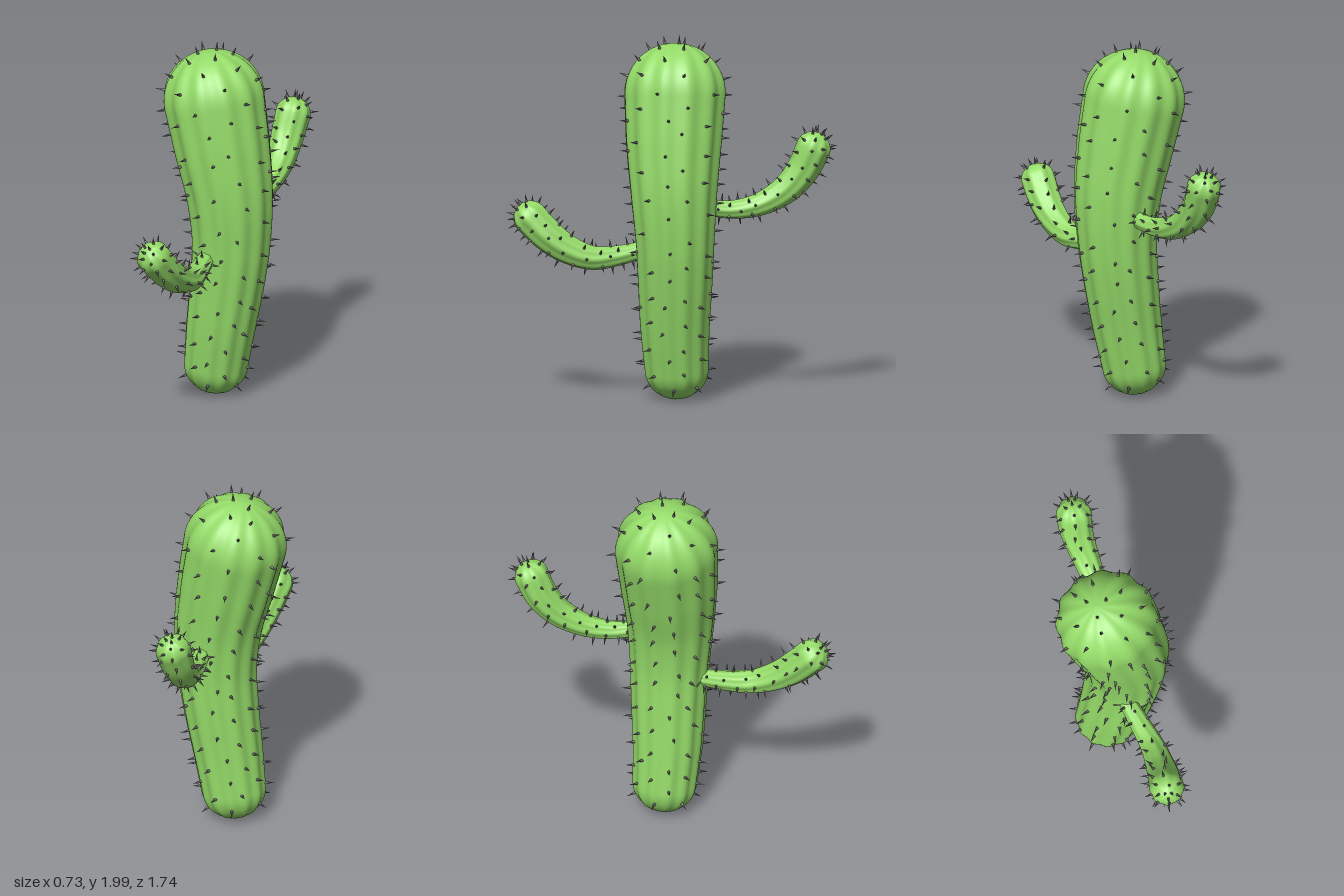
import * as THREE from 'three';
import { mergeGeometries } from 'three/addons/utils/BufferGeometryUtils.js';

const green = new THREE.MeshStandardMaterial({ color: 0x94da68 });
const grey = new THREE.MeshStandardMaterial({ color: 0x6a666c });

// Seeded noise in -0.5..0.5
let seed = 7;
function jitter() {
  seed = (seed * 16807) % 2147483647;
  return seed / 2147483647 - 0.5;
}

// Ribbed limb along [x, y, z, radius] stations.
// t = 0..1 is the stem, -1..0 and 1..2 are the rounded ends.
function makeLimb(stations, ribs, depth) {
  const path = new THREE.CatmullRomCurve3(stations.map(([x, y, z]) => new THREE.Vector3(x, y, z)));
  const radii = new THREE.CatmullRomCurve3(stations.map((s) => new THREE.Vector3(s[3], 0, 0)));
  return {
    ribs,
    at(t, angle) {
      const u = THREE.MathUtils.clamp(t, 0, 1);
      const cap = (t - u) * Math.PI / 2;
      const core = path.getPoint(u);
      const tangent = path.getTangent(u);
      const side = new THREE.Vector3(1, 0, 0).addScaledVector(tangent, -tangent.x).normalize();
      const other = new THREE.Vector3().crossVectors(tangent, side);
      const r = radii.getPoint(u).x;
      const ring = r * Math.cos(cap) * (1 + depth * Math.cos(ribs * angle));
      const point = core.clone()
        .addScaledVector(tangent, r * Math.sin(cap))
        .addScaledVector(side, ring * Math.cos(angle))
        .addScaledVector(other, ring * Math.sin(angle));
      return { point, out: point.clone().sub(core).normalize() };
    },
  };
}

// Skin: rings of points joined into a closed surface
function skin(limb, stemRows) {
  const ts = [];
  const capRows = 12;
  for (let i = 0; i < capRows; i++) ts.push(-1 + i / capRows);
  for (let i = 0; i <= stemRows; i++) ts.push(i / stemRows);
  for (let i = 1; i <= capRows; i++) ts.push(1 + i / capRows);
  const n = limb.ribs * 8;
  const pos = [], index = [];
  ts.forEach((t, i) => {
    for (let j = 0; j < n; j++) {
      pos.push(...limb.at(t, (j / n) * Math.PI * 2).point.toArray());
      if (i === ts.length - 1) continue;
      const a = i * n + j, b = i * n + (j + 1) % n;
      index.push(a, b, a + n, b, b + n, a + n);
    }
  });
  const geo = new THREE.BufferGeometry();
  geo.setAttribute('position', new THREE.Float32BufferAttribute(pos, 3));
  geo.setIndex(index);
  geo.computeVertexNormals();
  return geo;
}

// Spines: small cones standing on the ribs, staggered row by row
function spines(limb, stemRows, length) {
  const rows = [-0.3];
  for (let i = 0; i <= stemRows; i++) rows.push(i / stemRows);
  rows.push(1.2, 1.42, 1.65);
  const cones = [];
  const up = new THREE.Vector3(0, 1, 0);
  const add = (t, angle) => {
    const { point, out } = limb.at(t, angle);
    const cone = new THREE.ConeGeometry(length * 0.17, length, 6);
    cone.translate(0, length * 0.4, 0);
    cone.applyQuaternion(new THREE.Quaternion().setFromUnitVectors(up, out));
    cone.translate(point.x, point.y, point.z);
    cones.push(cone);
  };
  rows.forEach((t, i) => {
    for (let k = i % 2; k < limb.ribs; k += 2) {
      add(t + jitter() * 0.6 / stemRows, ((k + jitter() * 0.5) / limb.ribs) * Math.PI * 2);
    }
  });
  for (let k = 0; k < 3; k++) add(1.86, k * 2.1 + 0.5);
  return mergeGeometries(cones);
}

function addLimb(group, name, stations, ribs, depth, rows, spineRows, spineLength) {
  const limb = makeLimb(stations, ribs, depth);
  const part = new THREE.Group();
  part.name = name;
  const body = new THREE.Mesh(skin(limb, rows), green);
  body.name = name + 'Body';
  const thorns = new THREE.Mesh(spines(limb, spineRows, spineLength), grey);
  thorns.name = name + 'Spines';
  part.add(body, thorns);
  group.add(part);
}

export function createModel() {
  const group = new THREE.Group();
  group.name = 'cactus';

  // Trunk: leaning, swelling towards the top
  addLimb(group, 'trunk', [
    [-0.03, 0.18, 0, 0.172],
    [0.01, 0.42, 0, 0.187],
    [0.045, 0.66, -0.01, 0.2],
    [0.07, 0.9, -0.015, 0.212],
    [0.065, 1.16, -0.008, 0.233],
    [0.02, 1.42, 0.003, 0.257],
    [-0.035, 1.68, 0.01, 0.272],
  ], 12, 0.028, 50, 19, 0.055);

  // Front arm, curling up
  addLimb(group, 'frontArm', [
    [0.07, 0.83, 0.18, 0.045],
    [0.13, 0.805, 0.3, 0.054],
    [0.185, 0.8, 0.42, 0.064],
    [0.22, 0.855, 0.56, 0.078],
    [0.235, 0.93, 0.66, 0.088],
    [0.24, 1.015, 0.745, 0.092],
  ], 8, 0.04, 30, 12, 0.05);

  // Back arm, higher and longer
  addLimb(group, 'backArm', [
    [0.03, 1.07, -0.2, 0.042],
    [-0.02, 1.06, -0.32, 0.049],
    [-0.07, 1.085, -0.45, 0.06],
    [-0.12, 1.16, -0.58, 0.074],
    [-0.155, 1.27, -0.67, 0.086],
    [-0.165, 1.385, -0.725, 0.092],
  ], 8, 0.04, 30, 13, 0.05);

  return group;
}
